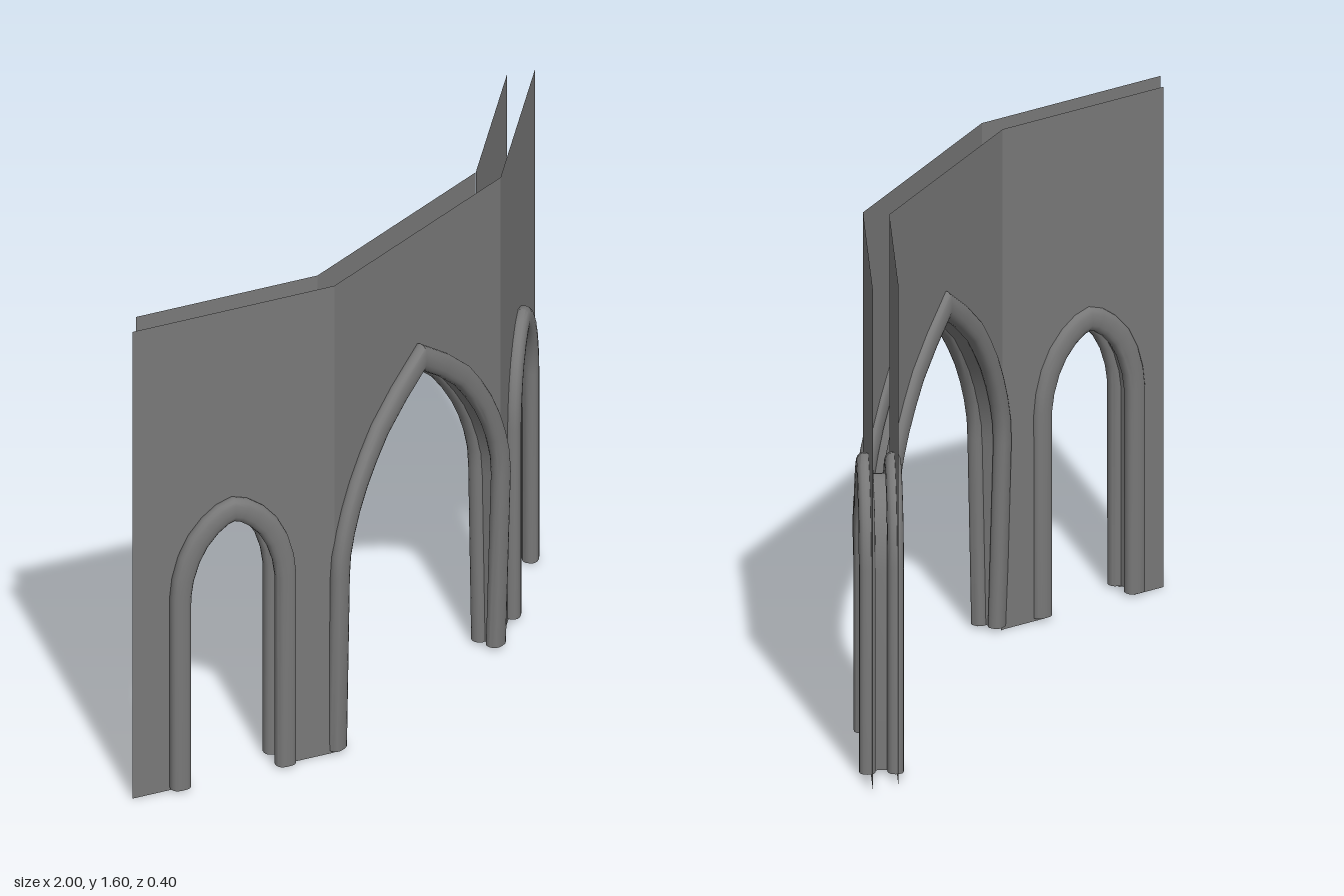
import * as THREE from 'three';
import { toCreasedNormals } from 'three/addons/utils/BufferGeometryUtils.js';

const stone = new THREE.MeshStandardMaterial({ color: 0x787878, side: THREE.DoubleSide });
const HEIGHT = 1.602, GAP = 0.078;

// Right half of each arch centreline, from the foot to the apex
const wideArch = [[0.395, 0.01], [0.4, 0.6], [0.394, 0.67], [0.375, 0.74], [0.347, 0.81], [0.31, 0.88],
  [0.262, 0.95], [0.205, 1.02], [0.11, 1.1], [0, 1.176]];
const narrowArch = [[0.173, 0.01], [0.173, 0.66], [0.165, 0.72], [0.145, 0.785], [0.115, 0.84],
  [0.075, 0.884], [0.035, 0.912], [0, 0.923]];

const mirrorPath = (half) => {
  const right = half.map(([x, y]) => new THREE.Vector2(x, y));
  const left = half.slice(0, -1).reverse().map(([x, y]) => new THREE.Vector2(-x, y));
  return [...right, ...left];
};

// Sweep a section of [in-plane offset, depth] along an arch, mitred at each point;
// the section widens a little towards the apex
function sweep(path, section, closed, pull = () => 0) {
  const pos = [], index = [], n = section.length;
  const apex = path[(path.length - 1) / 2].y;
  path.forEach((p, i) => {
    const a = p.clone().sub(path[Math.max(i - 1, 0)]).normalize();
    const b = path[Math.min(i + 1, path.length - 1)].clone().sub(p).normalize();
    const t = a.clone().add(b).normalize();
    const width = (1 + 0.16 * THREE.MathUtils.smoothstep(p.y, 0.6, apex)) / Math.max(t.dot(i ? a : b), 0.5);
    for (const [off, z] of section) {
      pos.push(p.x + t.y * off * width, p.y - t.x * off * width, z + pull(p.y));
    }
  });
  for (let i = 0; i < path.length - 1; i++) {
    for (let j = 0; j < (closed ? n : n - 1); j++) {
      const k = (j + 1) % n;
      const a = i * n + j, b = i * n + k, c = a + n, d = b + n;
      index.push(a, c, b, b, c, d);
    }
  }
  const g = new THREE.BufferGeometry();
  g.setAttribute('position', new THREE.Float32BufferAttribute(pos, 3));
  g.setIndex(index);
  return toCreasedNormals(g, 0.7);
}

// Softly squared oval for the rolled moulding
function rollSection(z) {
  const pts = [];
  for (let i = 0; i < 16; i++) {
    const a = (i / 16) * Math.PI * 2, c = Math.cos(a), s = Math.sin(a);
    pts.push([0.032 * Math.sign(c) * Math.abs(c) ** 0.8, z + 0.025 * Math.sign(s) * Math.abs(s) ** 0.8]);
  }
  return pts;
}

// Thin wall sheet from u0 to u1 with the arch cut up from its foot
function sheet(path, u0, u1, z) {
  const shape = new THREE.Shape();
  shape.moveTo(u0, 0);
  shape.lineTo(path[path.length - 1].x, 0);
  [...path].reverse().forEach((p) => shape.lineTo(p.x, p.y));
  shape.lineTo(path[0].x, 0);
  shape.lineTo(u1, 0);
  shape.lineTo(u1, HEIGHT);
  shape.lineTo(u0, HEIGHT);
  const g = new THREE.ShapeGeometry(shape);
  if (z < 0) { // the rear sheet faces backwards
    const ix = g.index.array;
    for (let i = 0; i < ix.length; i += 3) [ix[i], ix[i + 1]] = [ix[i + 1], ix[i]];
    g.computeVertexNormals();
  }
  return g.translate(0, 0, z);
}

// One wall bay: two sheets, the reveal between them and a moulding on each face
function bay(name, half, front, back, taper) {
  const group = new THREE.Group();
  group.name = name;
  const add = (part, geometry) => {
    const mesh = new THREE.Mesh(geometry, stone);
    mesh.name = part;
    group.add(mesh);
  };
  const path = mirrorPath(half);
  const opening = path.map((p) => p.clone().multiplyScalar(0.97));
  const drift = (y) => -taper * Math.max(0, 1 - y / 0.6);
  add('frontWall', sheet(opening, ...front, 0));
  add('backWall', sheet(opening, ...back, -GAP));
  add('archReveal', sweep(opening, [[0, 0], [0, -GAP]], false));
  add('frontMoulding', sweep(path, rollSection(0.011), true, drift));
  add('backMoulding', sweep(path, rollSection(-GAP + 0.004), true, (y) => -drift(y)));
  return group;
}

export function createModel() {
  const model = new THREE.Group();
  model.name = 'archedWall';

  const centre = bay('centreBay', wideArch, [-0.413, 0.413], [-0.393, 0.393], 0.015);
  centre.position.z = 0.16;
  model.add(centre);

  // Side bays fold backwards from the centre; their rear sheets stop short of the ends
  for (const s of [1, -1]) {
    const span = (a, b) => (s > 0 ? [a, b] : [-b, -a]);
    const side = bay(s > 0 ? 'leftBay' : 'rightBay', narrowArch, span(-0.34, 0.325), span(-0.321, 0.278), 0);
    side.position.set(s * 0.713, 0, 0);
    side.rotation.y = s * 0.49;
    model.add(side);
  }
  return model;
}
